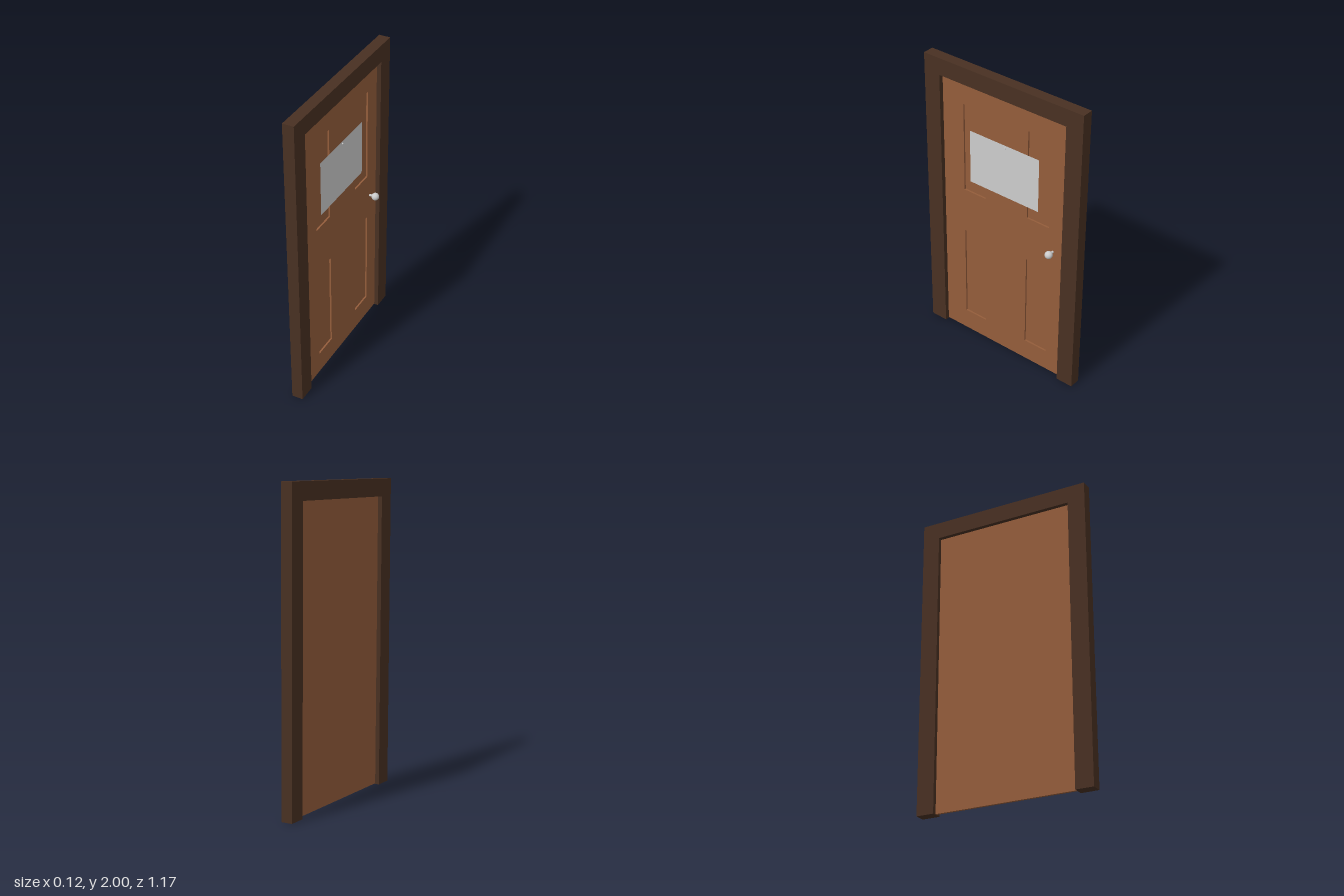
import * as THREE from 'three';

const FRAME_DEPTH = 0.074;
const DOOR_FRONT = 0.008;
const DOOR_BACK = -0.009;
const PANEL_DEPTH = 0.011;

const material = (color, side = THREE.FrontSide) =>
  new THREE.MeshStandardMaterial({ color, side });

const points = (list) => list.map(([x, y]) => new THREE.Vector2(x, y));
const rect = (x0, x1, y0, y1) => points([[x0, y0], [x1, y0], [x1, y1], [x0, y1]]);

function addMesh(parent, name, geometry, mat, x = 0, y = 0, z = 0) {
  const mesh = new THREE.Mesh(geometry, mat);
  mesh.name = name;
  mesh.position.set(x, y, z);
  parent.add(mesh);
  return mesh;
}

const extrude = (shape, depth) =>
  new THREE.ExtrudeGeometry(shape, { depth, bevelEnabled: false });

export function createModel() {
  const wood = material(0x945d3b);
  const darkWood = material(0x483022);
  const grey = material(0xcccccc);

  // Everything is laid out facing +z, then turned to face +x
  const door = new THREE.Group();
  door.name = 'door';

  // Frame: two jambs and a header in one piece
  const frame = new THREE.Shape(points([
    [-0.587, 0], [-0.47, 0], [-0.47, 1.887], [0.47, 1.887],
    [0.47, 0], [0.587, 0], [0.587, 2], [-0.587, 2],
  ]));
  addMesh(door, 'frame', extrude(frame, FRAME_DEPTH), darkWood, 0, 0, -FRAME_DEPTH / 2);

  // Leaf face with four cut-outs that form the recessed panels
  const face = new THREE.Shape(rect(-0.47, 0.47, 0.004, 1.887));
  for (const [x0, x1] of [[-0.31, -0.142], [0.183, 0.352]]) {
    for (const [y0, y1] of [[0.15, 0.807], [1.12, 1.733]]) {
      face.holes.push(new THREE.Path(rect(x0, x1, y0, y1)));
    }
  }
  addMesh(door, 'leafFace', extrude(face, PANEL_DEPTH), wood, 0, 0, DOOR_FRONT - PANEL_DEPTH);

  // Flat back board, also the floor of the panels
  const back = new THREE.Shape(rect(-0.47, 0.47, 0.004, 1.887));
  addMesh(door, 'leafBack', extrude(back, DOOR_FRONT - PANEL_DEPTH - DOOR_BACK), wood, 0, 0, DOOR_BACK);

  // Notice sheet held by a pin
  addMesh(door, 'sheet', new THREE.PlaneGeometry(0.526, 0.366),
    material(0xcccccc, THREE.DoubleSide), 0.005, 1.386, DOOR_FRONT + 0.003);
  addMesh(door, 'pin', new THREE.SphereGeometry(0.006, 12, 8), grey, 0.016, 1.553, DOOR_FRONT + 0.004);

  // Knob on a short stem
  const knob = new THREE.Group();
  knob.name = 'knob';
  knob.position.set(0.385, 0.96, 0);
  addMesh(knob, 'knobBall', new THREE.SphereGeometry(0.025, 32, 20), grey, 0, 0, 0.049);
  const stem = new THREE.CylinderGeometry(0.008, 0.008, 0.04, 20).rotateX(Math.PI / 2);
  addMesh(knob, 'knobStem', stem, grey, 0, 0, 0.026);
  door.add(knob);

  // Face +x, with a very slight twist and backward lean
  door.rotation.y = Math.PI / 2 - 0.0035;
  const model = new THREE.Group();
  model.name = 'framedDoor';
  const lean = new THREE.Group();
  lean.name = 'leaningDoor';
  lean.rotation.z = 0.0064;
  lean.position.x = -0.01;
  lean.add(door);
  model.add(lean);
  return model;
}
